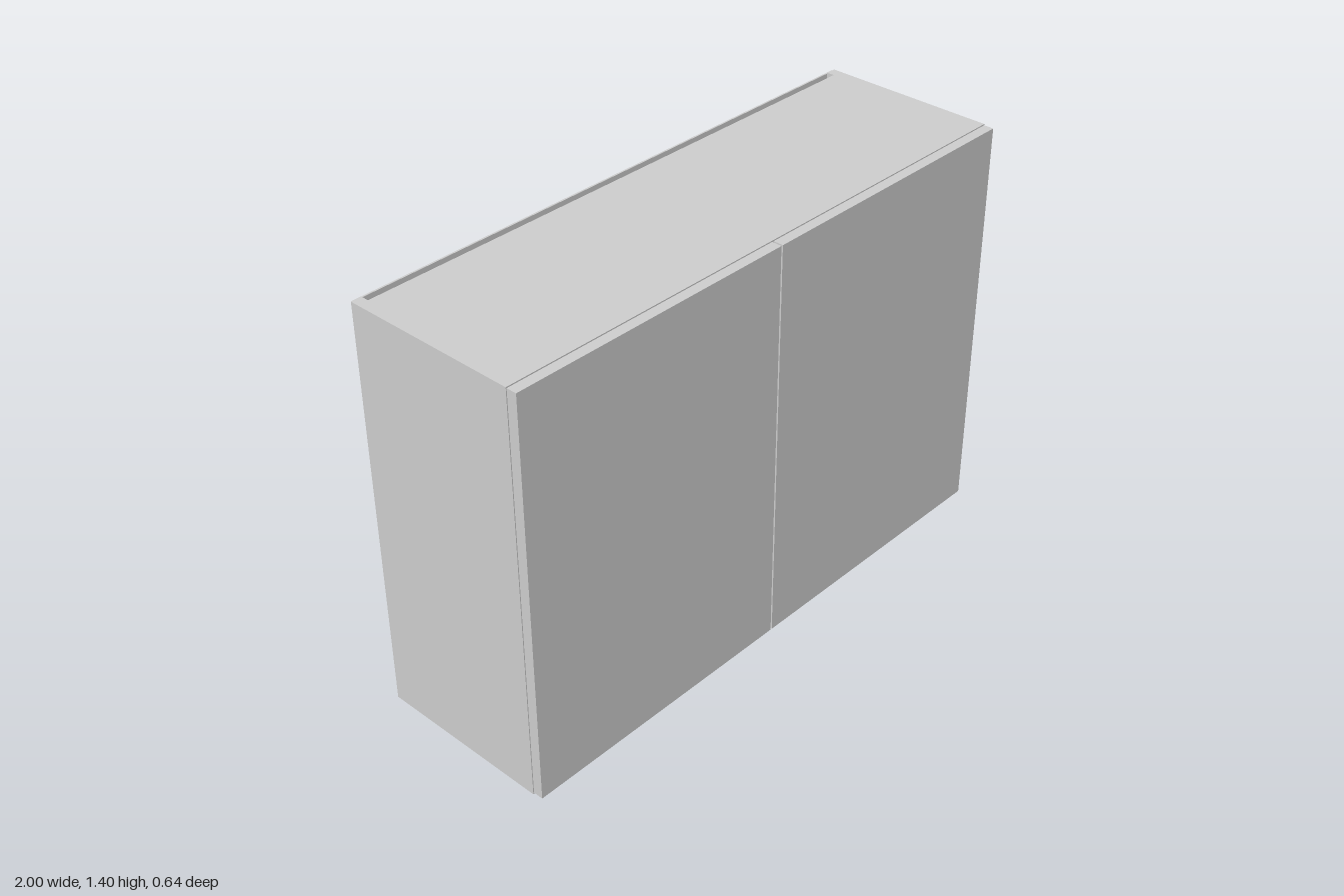
import * as THREE from 'three';

export function createModel() {
  const cabinet = new THREE.Group();
  cabinet.name = 'wallCabinet';
  const material = new THREE.MeshStandardMaterial({ color: 0xcccccc });

  // Panel given by its [min, max] extent on each axis
  function panel(name, [x0, x1], [y0, y1], [z0, z1]) {
    const mesh = new THREE.Mesh(new THREE.BoxGeometry(x1 - x0, y1 - y0, z1 - z0), material);
    mesh.position.set((x0 + x1) / 2, (y0 + y1) / 2, (z0 + z1) / 2);
    mesh.name = name;
    cabinet.add(mesh);
  }

  const height = 1.4, board = 0.035;
  const inner = 1 - board;
  const backZ = -0.314, frontZ = 0.285;
  const railZ = [-0.287, frontZ];

  // Side panels and doors, mirrored
  for (const [side, s] of [['left', 1], ['right', -1]]) {
    const span = (a, b) => [a * s, b * s].sort((p, q) => p - q);
    panel(`${side}Side`, span(inner, 1), [0, height], [backZ, frontZ]);
    panel(`${side}Door`, span(0.003, 0.998), [0.006, height - 0.003], [frontZ + 0.001, 0.32]);
  }

  // Top, bottom and shelf stop short of the back, leaving a slot
  panel('top', [-inner, inner], [height - board, height], railZ);
  panel('bottom', [-inner, inner], [0, board], railZ);
  panel('shelf', [-inner, inner], [0.703, 0.703 + board], [railZ[0], 0.27]);

  // Thin back sheet laid over the rear edges
  panel('back', [-0.996, 0.996], [0.003, height - 0.003], [-0.32, backZ]);

  return cabinet;
}
